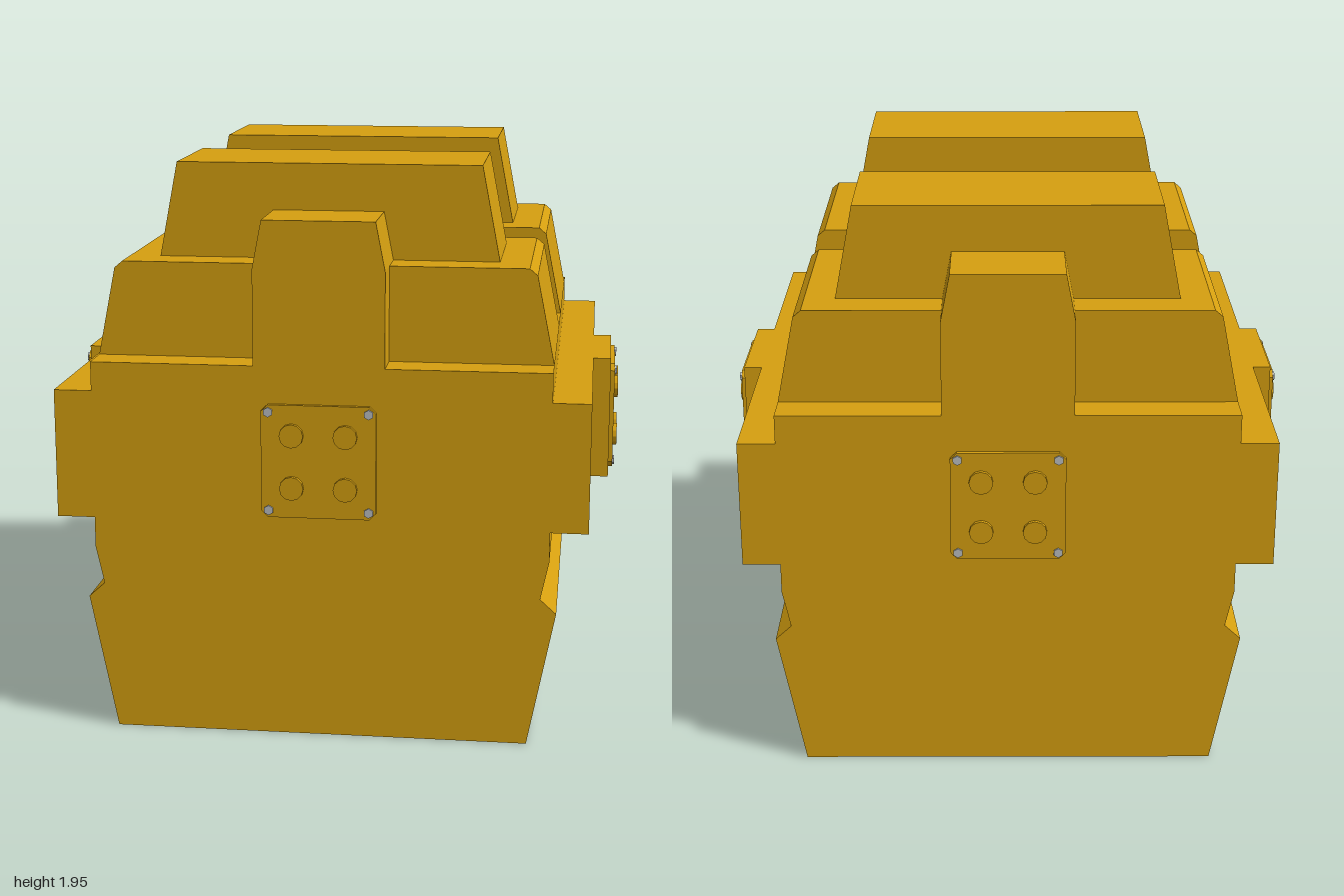
import * as THREE from 'three';

const yellow = new THREE.MeshStandardMaterial({ color: 0xd6a010, side: THREE.DoubleSide, flatShading: true });
yellow.name = 'yellowPaint';
const steel = new THREE.MeshStandardMaterial({ color: 0xbcc0c4, flatShading: true });
steel.name = 'steel';

function add(parent, name, geometry, material, x = 0, y = 0, z = 0) {
  const mesh = new THREE.Mesh(geometry, material);
  mesh.name = name;
  mesh.position.set(x, y, z);
  parent.add(mesh);
  return mesh;
}

// Outline from its right half, bottom to top, mirrored in x and extruded from z0 to z1
function prism(half, z0, z1) {
  const right = half.map(([x, y]) => new THREE.Vector2(x, y));
  const left = half.map(([x, y]) => new THREE.Vector2(-x, y)).reverse();
  const shape = new THREE.Shape([...right, ...left]);
  return new THREE.ExtrudeGeometry(shape, { depth: z1 - z0, bevelEnabled: false }).translate(0, 0, z0);
}

// Removes the faces that lie flat on the given height
function openBottom(geometry, y) {
  const p = geometry.attributes.position;
  const kept = [];
  for (let i = 0; i < p.count; i += 3) {
    const flat = [0, 1, 2].every((k) => Math.abs(p.getY(i + k) - y) < 1e-4);
    if (!flat) for (let k = 0; k < 3; k++) kept.push(p.getX(i + k), p.getY(i + k), p.getZ(i + k));
  }
  const out = new THREE.BufferGeometry();
  out.setAttribute('position', new THREE.Float32BufferAttribute(kept, 3));
  out.computeVertexNormals();
  return out;
}

// Cover plate facing +z with four round studs and four corner screws
function coverPlate() {
  const plate = new THREE.Group();
  const a = 0.195, c = 0.172;
  const outline = new THREE.Shape([[c, -a], [a, -c], [a, c], [c, a], [-c, a], [-a, c], [-a, -c], [-c, -a]]
    .map(([x, y]) => new THREE.Vector2(x, y)));
  add(plate, 'plate', new THREE.ExtrudeGeometry(outline, { depth: 0.015, bevelEnabled: false }), yellow);
  const stud = new THREE.CylinderGeometry(0.041, 0.041, 0.03, 12).rotateX(Math.PI / 2);
  const screw = new THREE.CylinderGeometry(0.017, 0.017, 0.022, 6).rotateX(Math.PI / 2);
  for (const sx of [-1, 1]) for (const sy of [-1, 1]) {
    add(plate, 'stud', stud, yellow, sx * 0.091, sy * 0.091, 0.014);
    add(plate, 'screw', screw, steel, sx * 0.17, sy * 0.17, 0.011);
  }
  return plate;
}

export function createModel() {
  const group = new THREE.Group();

  // Hollow body, open underneath
  const body = prism([
    [0.712, 0], [0.805, 0.47], [0.75, 0.52], [0.778, 0.65], [0.778, 0.755],
    [0.907, 0.755], [0.907, 1.2], [0.778, 1.2], [0.778, 1.3],
  ], -0.97, 0.97);
  add(group, 'bodyShell', openBottom(body, 0), yellow);

  // Lengthwise centre beam
  add(group, 'centreBeam', openBottom(prism([[0.222, 1.3], [0.222, 1.625], [0.19, 1.79]], -0.97, 0.97), 1.3), yellow);

  // Shoulder blocks and the cross beams on top of them
  for (const side of [-1, 1]) {
    const end = side > 0 ? 'front' : 'rear';
    const zs = (a, b) => (side > 0 ? [a, b] : [-b, -a]);
    const shoulder = prism([[0.778, 1.3], [0.717, 1.602], [0.69, 1.625]], ...zs(0.13, 0.842));
    add(group, end + 'ShoulderBlock', openBottom(shoulder, 1.3), yellow);
    const beam = prism([[0.585, 1.625], [0.522, 1.95]], ...zs(0.26, 0.712));
    add(group, end + 'CrossBeam', openBottom(beam, 1.625), yellow);
  }

  // Side bosses and small inner ribs
  for (const s of [-1, 1]) {
    add(group, 'sideBoss', new THREE.BoxGeometry(0.064, 0.445, 0.444), yellow, s * 0.939, 0.9775, 0);
    const rib = new THREE.Shape([[0.712, 0], [0.805, 0.47], [0.75, 0.47], [0.655, 0]]
      .map(([x, y]) => new THREE.Vector2(s * x, y)));
    add(group, 'innerRib', new THREE.ShapeGeometry(rib), yellow);
  }

  // Cover plates on all four sides
  ['front', 'left', 'back', 'right'].forEach((name, i) => {
    const angle = (i * Math.PI) / 2;
    const plate = coverPlate();
    plate.name = name + 'CoverPlate';
    plate.rotation.y = angle;
    plate.position.set(Math.sin(angle) * 0.971, 0.977, Math.cos(angle) * 0.971);
    group.add(plate);
  });

  return group;
}
